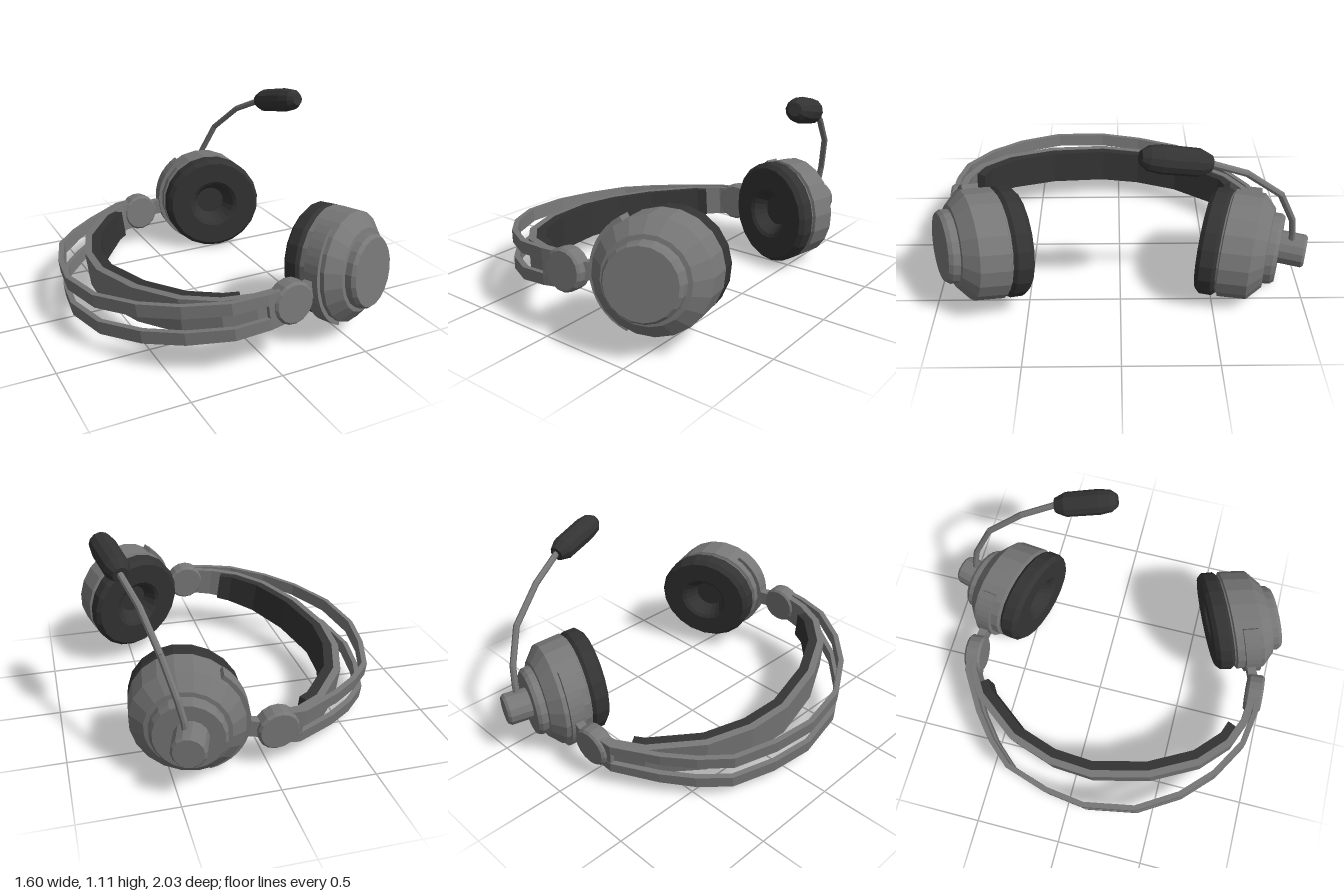
import * as THREE from 'three';

const shellGrey = new THREE.MeshStandardMaterial({ color: 0x777777 });
shellGrey.name = 'shell grey';
const paddingBlack = new THREE.MeshStandardMaterial({ color: 0x333333 });
paddingBlack.name = 'padding black';

// Faceted mesh
function part(parent, name, geometry, material) {
  const g = geometry.index ? geometry.toNonIndexed() : geometry;
  g.computeVertexNormals();
  const mesh = new THREE.Mesh(g, material);
  mesh.name = name;
  parent.add(mesh);
  return mesh;
}

// Solid of revolution along z, profile given as [radius, z]
function turned(profile, sides) {
  return new THREE.LatheGeometry(profile.map(([r, u]) => new THREE.Vector2(r, u)), sides).rotateX(Math.PI / 2);
}

// Place a part made along z so that it runs from one point towards another
function aim(mesh, from, to) {
  mesh.position.copy(from);
  mesh.quaternion.setFromUnitVectors(new THREE.Vector3(0, 0, 1), to.clone().sub(from).normalize());
}

// Rectangular band along an [x, z] path; inset and thickness are measured inwards
function ribbon(path, inset, thickness, low, high) {
  const n = path.length, pos = [], idx = [];
  path.forEach(([x, z], i) => {
    const a = path[Math.max(i - 1, 0)], b = path[Math.min(i + 1, n - 1)];
    const t = new THREE.Vector2(b[0] - a[0], b[1] - a[1]).normalize();
    const s = Math.sin(Math.PI * i / (n - 1));
    const corners = [[inset, low(s)], [inset, high(s)], [inset + thickness, high(s)], [inset + thickness, low(s)]];
    for (const [d, y] of corners) pos.push(x + t.y * d, y, z - t.x * d);
  });
  for (let i = 0; i < n - 1; i++) {
    for (let j = 0; j < 4; j++) {
      const k = (j + 1) % 4, a = i * 4, b = a + 4;
      idx.push(a + j, b + k, a + k, a + j, b + j, b + k);
    }
  }
  const e = (n - 1) * 4;
  idx.push(0, 1, 2, 0, 2, 3, e, e + 2, e + 1, e, e + 3, e + 2);
  const g = new THREE.BufferGeometry();
  g.setAttribute('position', new THREE.Float32BufferAttribute(pos, 3));
  g.setIndex(idx);
  return g;
}

// Ear cup with its cushion on z = 0 and the shell towards +z, leaning to the yoke side
function earCup(name, yokeSide) {
  const cup = new THREE.Group();
  cup.name = name;
  const lean = new THREE.Matrix4().makeShear(0, 0, 0, 0, 0.15 * yokeSide, 0);
  part(cup, 'earCushion', turned([[0, 0.085], [0.085, 0.085], [0.13, 0.012], [0.15, 0], [0.272, 0],
    [0.296, 0.025], [0.298, 0.09], [0.282, 0.108], [0, 0.108]], 20).applyMatrix4(lean), paddingBlack);
  part(cup, 'cupShell', turned([[0, 0.1], [0.277, 0.1], [0.282, 0.116], [0.298, 0.122], [0.294, 0.275],
    [0.22, 0.342], [0.197, 0.344], [0.195, 0.38], [0.18, 0.4], [0, 0.4]], 20).applyMatrix4(lean), shellGrey);
  // Arc yoke hugging the hinge side
  const mid = yokeSide > 0 ? 0 : Math.PI, half = 1.08;
  const arc = new THREE.Shape();
  arc.absarc(0, 0, 0.317, mid - half, mid + half, false);
  arc.absarc(0, 0, 0.28, mid + half, mid - half, true);
  const yoke = new THREE.ExtrudeGeometry(arc, { depth: 0.085, bevelEnabled: false, curveSegments: 8 });
  part(cup, 'yoke', yoke.translate(0, 0, 0.165).applyMatrix4(lean), shellGrey);
  return cup;
}

export function createModel() {
  const model = new THREE.Group();
  model.name = 'headset';

  // Headset body, lying slightly tilted
  const body = new THREE.Group();
  body.name = 'headsetBody';
  body.position.y = 0.286;
  body.rotation.set(-0.073, 0, 0.118);
  model.add(body);

  // Two outer strips of the headband
  const outer = [[-0.05, -0.80], [-0.18, -0.79], [-0.41, -0.65], [-0.56, -0.53], [-0.69, -0.385], [-0.77, -0.14],
    [-0.805, 0.105], [-0.755, 0.4], [-0.615, 0.635], [-0.45, 0.8], [-0.24, 0.925], [-0.06, 0.955], [0.07, 0.955]];
  const stripLow = s => 0.034 + 0.006 * s, stripHigh = s => 0.088 + 0.026 * s;
  part(body, 'upperStrip', ribbon(outer, 0, 0.03, stripLow, stripHigh), shellGrey);
  part(body, 'lowerStrip', ribbon(outer, 0, 0.03, s => -stripHigh(s), s => -stripLow(s)), shellGrey);
  for (const ends of [outer.slice(0, 2), outer.slice(-2)]) {
    part(body, 'stripEnd', ribbon(ends, 0.002, 0.026, () => -0.087, () => 0.087), shellGrey);
  }

  // Inner headband and its padding
  const inner = [[-0.05, -0.785], [-0.17, -0.765], [-0.32, -0.67], [-0.52, -0.41], [-0.61, -0.15], [-0.63, 0.105],
    [-0.555, 0.435], [-0.42, 0.7], [-0.265, 0.85], [-0.105, 0.915], [0.07, 0.935]];
  part(body, 'innerBand', ribbon(inner, 0, 0.04, s => -0.08 - 0.02 * s, s => 0.08 + 0.02 * s), shellGrey);
  const padPath = [[-0.25, -0.715], ...inner.slice(2, 9), [-0.17, 0.89]];
  part(body, 'headbandPad', ribbon(padPath, 0.038, 0.055, s => -0.08 - 0.018 * s, s => 0.08 + 0.018 * s), paddingBlack);

  // Hinge discs and the necks to the cups
  for (const [name, x, z, turn] of [['frontHinge', 0.078, 0.916, 0.05], ['backHinge', -0.042, -0.775, Math.PI + 0.05]]) {
    const hinge = part(body, name, turned([[0, -0.048], [0.1, -0.048], [0.112, -0.035], [0.112, 0.035],
      [0.1, 0.048], [0, 0.048]], 16), shellGrey);
    hinge.position.set(x, 0, z);
    hinge.rotation.y = turn;
  }
  part(body, 'frontNeck', ribbon([[0.15, 0.925], [0.25, 0.885]], 0, 0.05, () => -0.045, () => 0.045), shellGrey);
  part(body, 'backNeck', ribbon([[0.04, -0.75], [0.14, -0.73]], 0, 0.05, () => -0.045, () => 0.045), shellGrey);

  // Ear cups
  const front = earCup('frontEarCup', -1);
  front.position.set(0.45, 0, 0.554);
  front.rotation.y = 0.425;
  const back = earCup('backEarCup', 1);
  back.position.set(0.372, 0.02, -0.462);
  back.rotation.y = Math.PI - 0.305;
  body.add(front, back);

  // Microphone pivot on the back cup
  const hub = part(back, 'microphonePivot', turned([[0, 0.38], [0.09, 0.38], [0.09, 0.523], [0.078, 0.537], [0, 0.537]], 14), shellGrey);
  hub.position.set(0.07, 0.01, 0);

  // Boom in straight segments
  const bends = [[0.445, 0.3, -0.92], [0.46, 0.42, -0.913], [0.485, 0.53, -0.895], [0.54, 0.724, -0.807],
    [0.6, 0.89, -0.614], [0.665, 0.995, -0.4]].map(p => new THREE.Vector3(...p));
  for (let i = 0; i < bends.length - 1; i++) {
    const reach = bends[i].distanceTo(bends[i + 1]) + 0.004;
    const segment = turned([[0, 0], [0.018, 0], [0.018, reach], [0, reach]], 8);
    aim(part(model, 'microphoneBoom', segment, shellGrey), bends[i], bends[i + 1]);
  }

  // Foam tip
  const from = new THREE.Vector3(0.655, 0.982, -0.425), to = new THREE.Vector3(0.724, 1.06, -0.09);
  const length = from.distanceTo(to);
  const foam = part(model, 'microphoneFoam', turned([[0, 0], [0.042, 0], [0.068, 0.06], [0.07, length - 0.1],
    [0.06, length - 0.035], [0.035, length], [0, length]], 12), paddingBlack);
  aim(foam, from, to);

  return model;
}
